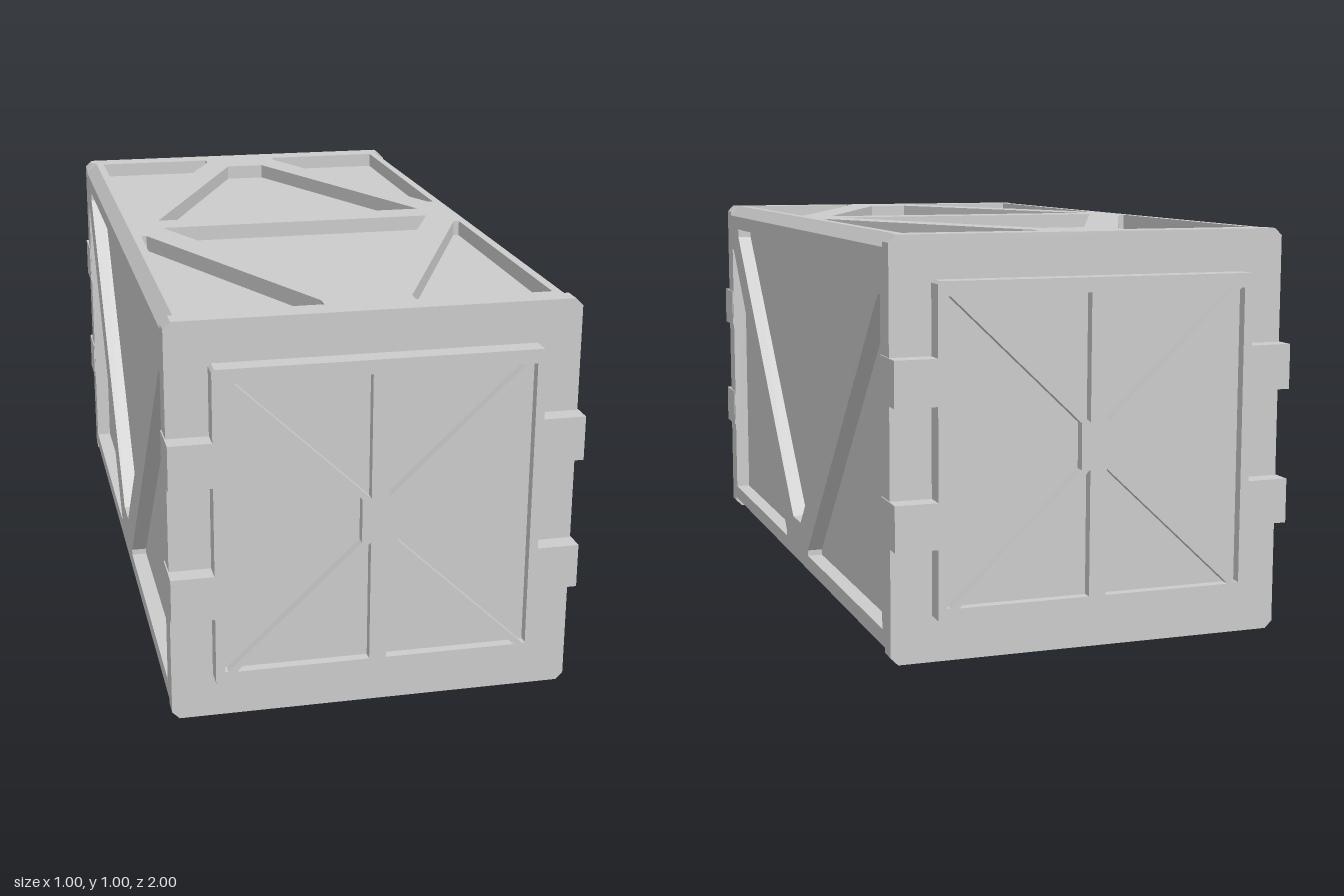
import * as THREE from 'three';

const material = new THREE.MeshStandardMaterial({ color: 0xcccccc, flatShading: true });
const W = 0.497;      // half width of the body
const D = 0.04;       // depth of the recessed panels
const END = 0.9;      // where the long sides meet the end caps
const IN = W - D;     // half width of the core

const rect = (x0, y0, x1, y1) => [[x0, y0], [x1, y0], [x1, y1], [x0, y1]];
const flipX = (pts) => pts.map(([x, y]) => [-x, y]);
const flipY = (pts, axis = 0) => pts.map(([x, y]) => [x, 2 * axis - y]);
const chamfered = (hx, y0, y1, c) => [
  [-hx + c, y0], [hx - c, y0], [hx, y0 + c], [hx, y1 - c],
  [hx - c, y1], [-hx + c, y1], [-hx, y1 - c], [-hx, y0 + c],
];

// Flat plate with cut-outs, extruded along +z from 0
function plate(name, outline, holes, depth) {
  const toPoints = (pts) => pts.map(([x, y]) => new THREE.Vector2(x, y));
  const shape = new THREE.Shape(toPoints(outline));
  holes.forEach((h) => shape.holes.push(new THREE.Path(toPoints(h))));
  const geometry = new THREE.ExtrudeGeometry(shape, { depth, bevelEnabled: false });
  const mesh = new THREE.Mesh(geometry, material);
  mesh.name = name;
  return mesh;
}

function box(name, x0, x1, y0, y1, z0, z1) {
  const mesh = new THREE.Mesh(new THREE.BoxGeometry(x1 - x0, y1 - y0, z1 - z0), material);
  mesh.position.set((x0 + x1) / 2, (y0 + y1) / 2, (z0 + z1) / 2);
  mesh.name = name;
  return mesh;
}

// Side wall frame with a V-shaped brace
function sideFrame(side) {
  const corner = [[0.88, 0.86], [0.86, 0.86], [0.13, 0.085], [0.13, 0.07], [0.88, 0.07]];
  const middle = [[0.78, 0.93], [0.78, 0.905], [0.045, 0.145], [-0.045, 0.145], [-0.78, 0.905], [-0.78, 0.93]];
  const mesh = plate('sideFrame', rect(-END, D, END, 1 - D), [corner, flipX(corner), middle], D);
  mesh.rotation.y = side * Math.PI / 2;
  mesh.position.x = side * IN;
  return mesh;
}

// Roof frame with diagonal braces
function roofFrame() {
  const corner = [[0.445, 0.88], [0.11, 0.88], [0.11, 0.845], [0.43, 0.13], [0.445, 0.13]];
  const middle = [[0.375, 0.045], [0.055, 0.765], [-0.055, 0.765], [-0.375, 0.045]];
  const half = [corner, flipX(corner), middle];
  const holes = [...half, ...half.map((h) => flipY(h))];
  const mesh = plate('roofFrame', rect(-IN, -END, IN, END), holes, D);
  mesh.rotation.x = -Math.PI / 2;
  mesh.position.y = 1 - D;
  return mesh;
}

function floorFrame() {
  const mesh = plate('floorFrame', rect(-IN, -END, IN, END), [rect(-0.445, -0.88, 0.445, 0.88)], D);
  mesh.rotation.x = Math.PI / 2;
  mesh.position.y = D;
  return mesh;
}

// Chamfered rail along one long edge
function rail(sx, top) {
  const c = 0.03;
  let pts = [[IN, 1 - D], [W, 1 - D], [W, 1 - c], [W - c, 1], [IN, 1]];
  if (sx < 0) pts = flipX(pts);
  if (!top) pts = flipY(pts, 0.5);
  const mesh = plate('edgeRail', pts, [], 2 * END);
  mesh.position.z = -END;
  return mesh;
}

// End cap, raised door with braced recesses, and four wrap-around latches
function endAssembly() {
  const end = new THREE.Group();
  end.name = 'end';
  const cap = plate('endCap', chamfered(W, 0, 1, 0.018), [], 0.05);
  cap.position.z = END;
  end.add(cap);

  const doorOutline = chamfered(0.396, 0.105, 0.897, 0.007);
  const slab = plate('doorPanel', doorOutline, [], 0.025);
  slab.position.z = 0.95;
  const upper = [[0.021, 0.862], [0.346, 0.862], [0.021, 0.556]];
  const outer = [[0.374, 0.862], [0.366, 0.862], [0.043, 0.555], [0.043, 0.445], [0.366, 0.14], [0.374, 0.14]];
  const half = [upper, flipY(upper, 0.5), outer];
  const frame = plate('doorFrame', doorOutline, [...half, ...half.map(flipX)], 0.025);
  frame.position.z = 0.975;
  end.add(slab, frame);

  for (const sx of [-1, 1]) {
    for (const y of [0.28, 0.612]) {
      const x0 = sx > 0 ? 0.396 : -0.5;
      end.add(box('latchFront', x0, x0 + 0.104, y, y + 0.11, 0.95, 1));
      const s0 = sx > 0 ? IN : -0.5;
      end.add(box('latchSide', s0, s0 + 0.5 - IN, y, y + 0.11, 0.885, 0.95));
    }
  }
  return end;
}

export function createModel() {
  const model = new THREE.Group();
  model.name = 'cargoContainer';
  model.add(box('core', -IN, IN, D, 1 - D, -END, END));
  model.add(roofFrame(), floorFrame());
  for (const sx of [-1, 1]) {
    model.add(sideFrame(sx), rail(sx, true), rail(sx, false));
  }
  const front = endAssembly();
  front.name = 'frontEnd';
  const back = endAssembly();
  back.name = 'backEnd';
  back.rotation.y = Math.PI;
  model.add(front, back);
  return model;
}
